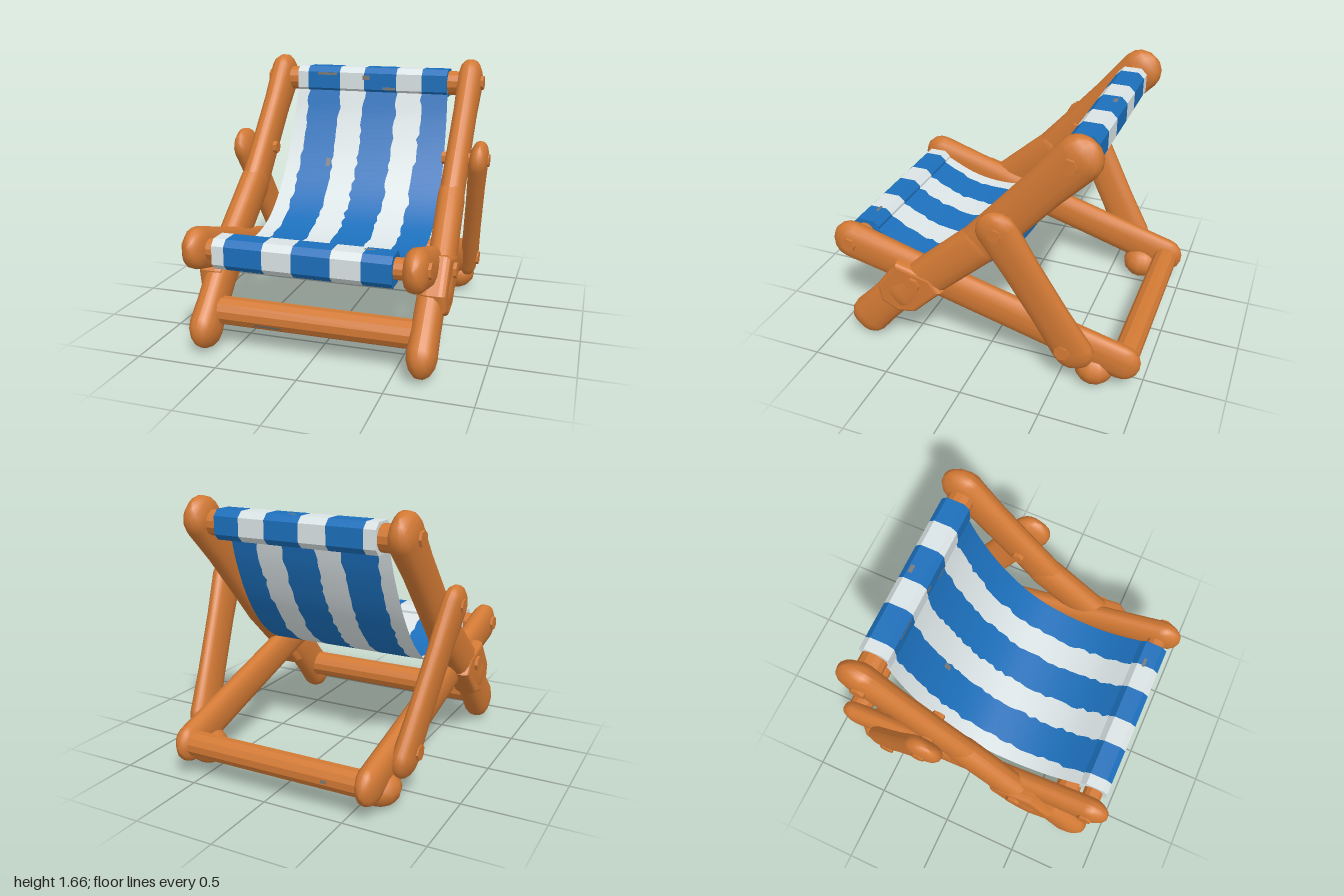
import * as THREE from 'three';

const mat = (name, color, side = THREE.FrontSide) => {
  const m = new THREE.MeshStandardMaterial({ color, side });
  m.name = name;
  return m;
};

export function createModel() {
  const wood = mat('orange wood', 0xd27934);
  const blue = mat('blue cloth', 0x1c6fbb, THREE.DoubleSide);
  const white = mat('white cloth', 0xdae3e5, THREE.DoubleSide);
  const worn = mat('worn grey', 0x7b7a76, THREE.DoubleSide);
  const model = new THREE.Group();
  model.name = 'deckChair';
  const V = (x, y, z) => new THREE.Vector3(x, y, z);

  const add = (name, geo, material, parent = model) => {
    const mesh = new THREE.Mesh(geo, material);
    mesh.name = name;
    parent.add(mesh);
    return mesh;
  };
  const faceted = (geo) => {
    const g = geo.index ? geo.toNonIndexed() : geo;
    g.computeVertexNormals();
    return g;
  };

  // Round-ended wooden bar from a to b: end radii ra and rb, waist radius rm, half thickness t in x
  function bar(name, a, b, ra, rm, rb, t, parent) {
    const dir = b.clone().sub(a);
    const len = dir.length();
    const pts = [];
    for (let i = 0; i <= 4; i++) {
      const k = (i / 4) * Math.PI / 2;
      pts.push(new THREE.Vector2(ra * Math.sin(k), -ra * Math.cos(k)));
    }
    pts.push(new THREE.Vector2(rm, len * 0.3), new THREE.Vector2(rm, len * 0.7));
    for (let i = 4; i >= 0; i--) {
      const k = (i / 4) * Math.PI / 2;
      pts.push(new THREE.Vector2(rb * Math.sin(k), len + rb * Math.cos(k)));
    }
    const geo = new THREE.LatheGeometry(pts, 16);
    // Swell the round section towards a soft square
    const pos = geo.attributes.position;
    for (let i = 0; i < pos.count; i++) {
      const px = pos.getX(i), pz = pos.getZ(i), r = Math.hypot(px, pz);
      if (r < 1e-5) continue;
      const f = Math.pow(Math.abs(px / r) ** 2.7 + Math.abs(pz / r) ** 2.7, -1 / 2.7);
      pos.setX(i, px * f);
      pos.setZ(i, pz * f);
    }
    geo.scale(t / Math.max(ra, rm, rb), 1, 1);
    geo.computeVertexNormals();
    const y = dir.normalize();
    const z = V(1, 0, 0).cross(y).normalize();
    const x = y.clone().cross(z);
    geo.applyMatrix4(new THREE.Matrix4().makeBasis(x, y, z).setPosition(a));
    return add(name, geo, wood, parent);
  }

  // Cylinder lying along x between x0 and x1, with one flat face towards +z
  function rod(name, x0, x1, y, z, r, sides, parent = model) {
    const geo = new THREE.CylinderGeometry(r, r, Math.abs(x1 - x0), sides, 1, false, Math.PI / sides);
    geo.rotateZ(Math.PI / 2);
    geo.translate((x0 + x1) / 2, y, z);
    return add(name, faceted(geo), wood, parent);
  }

  // Side frames
  for (const s of [-1, 1]) {
    const side = new THREE.Group();
    side.name = s > 0 ? 'leftFrame' : 'rightFrame';
    model.add(side);
    const P = (x, y, z) => V(s * x, y, z);

    // The back rail bends slightly above the joint
    bar('backRail', P(0.665, 0.86, 0), P(0.665, 1.525, -0.585), 0.124, 0.122, 0.135, 0.08, side);
    bar('backRailLower', P(0.69, 0.42, 0.49), P(0.665, 0.86, 0), 0.132, 0.124, 0.124, 0.085, side);
    bar('frontFoot', P(0.665, 0.14, 0.775), P(0.665, 0.5, 0.45), 0.129, 0.122, 0.11, 0.085, side);
    bar('seatRail', P(0.645, 0.675, 0.87), P(0.605, 0.195, -0.88), 0.125, 0.112, 0.115, 0.072, side);
    bar('rearStrut', P(0.8, 1.065, -0.175), P(0.7, 0.265, -0.605), 0.124, 0.115, 0.124, 0.06, side);

    // Ball foot under the seat rail
    const ball = new THREE.SphereGeometry(0.118, 12, 8);
    ball.scale(1.08, 0.95, 1.06);
    ball.translate(s * 0.595, 0.112, -0.715);
    add('rearFoot', ball, wood, side);

    // Swollen joint where the rails cross
    const outline = [[0.51, 0.62], [0.3, 0.57], [0.25, 0.5], [0.42, 0.33], [0.52, 0.31], [0.62, 0.36], [0.635, 0.45]];
    const shape = new THREE.Shape(outline.map(([z, y]) => new THREE.Vector2(-z, y)));
    const plate = new THREE.ExtrudeGeometry(shape, {
      depth: 0.07, bevelThickness: 0.04, bevelSize: 0.025, bevelSegments: 3,
    });
    plate.rotateY(Math.PI / 2);
    plate.translate(s > 0 ? 0.655 : -0.725, 0, 0);
    add('joint', faceted(plate), wood, side);

    // Peg ends: inner x, outer x, y, z, radius
    const pegs = [
      [0.6, 0.76, 1.51, -0.555, 0.048], [0.6, 0.73, 0.68, 0.86, 0.048], [0.65, 0.785, 0.53, 0.4, 0.048],
      [0.567, 0.868, 1.07, -0.18, 0.042], [0.58, 0.775, 0.29, -0.555, 0.048],
    ];
    for (const [x0, x1, y, z, r] of pegs) rod('peg', s * x0, s * x1, y, z, r, 7, side);
  }

  // Cross bars and cloth rods
  rod('frontCrossBar', -0.62, 0.62, 0.225, 0.69, 0.087, 12);
  rod('rearCrossBar', -0.6, 0.6, 0.2, -0.89, 0.08, 12);
  rod('topRod', -0.62, 0.62, 1.5, -0.565, 0.08, 12);
  rod('seatRod', -0.62, 0.62, 0.67, 0.85, 0.062, 12);

  // Striped cloth
  const cloth = new THREE.Group();
  cloth.name = 'cloth';
  model.add(cloth);
  const edges = [-0.54, -0.45, -0.22, -0.045, 0.18, 0.355, 0.54];
  const sag = new THREE.CatmullRomCurve3([
    V(0, 1.46, -0.5), V(0, 1.24, -0.43), V(0, 0.97, -0.3), V(0, 0.76, -0.14),
    V(0, 0.63, 0.04), V(0, 0.575, 0.27), V(0, 0.6, 0.53), V(0, 0.735, 0.82),
  ]);
  const rows = 48;
  const path = sag.getSpacedPoints(rows);

  // Slightly uneven stripe borders, shared by neighbouring stripes
  let seed = 7;
  const rand = () => (seed = (seed * 16807) % 2147483647) / 2147483647;
  const borders = edges.map((e, j) => path.map((p, i) => {
    if (j === 0 || j === edges.length - 1) {
      return e + Math.sign(e) * (0.025 * Math.sin(Math.PI * i / rows) - 0.012);
    }
    return e + (rand() - 0.5) * 0.022;
  }));

  // Hem section: a square with cut corners, run along x
  function hem(name, x0, x1, y, z, material) {
    const h = 0.091, c = 0.055;
    const corners = [[h, c], [c, h], [-c, h], [-h, c], [-h, -c], [-c, -h], [c, -h], [h, -c]];
    const shape = new THREE.Shape(corners.map(([u, v]) => new THREE.Vector2(u, v)));
    const geo = new THREE.ExtrudeGeometry(shape, { depth: x1 - x0, bevelEnabled: false });
    geo.rotateY(Math.PI / 2);
    geo.translate(x0, y, z);
    add(name, geo, material, cloth);
  }

  for (let j = 0; j < edges.length - 1; j++) {
    const material = j % 2 ? blue : white;
    const geo = new THREE.PlaneGeometry(1, 1, 1, rows);
    const pos = geo.attributes.position;
    path.forEach((p, i) => {
      pos.setXYZ(i * 2, borders[j][i], p.y, p.z);
      pos.setXYZ(i * 2 + 1, borders[j + 1][i], p.y, p.z);
    });
    geo.computeVertexNormals();
    add('seatStripe', geo, material, cloth);

    const x0 = Math.max(edges[j], -0.525), x1 = Math.min(edges[j + 1], 0.525);
    hem('topHem', x0, x1, 1.5, -0.565, material);
    hem('frontHem', x0, x1, 0.662, 0.845, material);
  }

  // Small worn patches: x, y, z, width, height, tilt about x
  const patches = [
    [-0.31, 1.545, -0.471, 0.14, 0.018, 0], [-0.03, 1.525, -0.471, 0.05, 0.03, 0],
    [0.13, 1.455, -0.471, 0.09, 0.018, 0], [0.02, 1.594, -0.6, 0.05, 0.025, -Math.PI / 2],
    [0.375, 0.756, 0.83, 0.06, 0.02, -Math.PI / 2], [-0.245, 0.963, -0.288, 0.03, 0.06, -0.555],
    [-0.27, 0.182, 0.766, 0.17, 0.018, Math.PI / 6], [-0.37, 0.2, -0.97, 0.04, 0.02, Math.PI],
  ];
  for (const [x, y, z, w, h, tilt] of patches) {
    const patch = add('wornPatch', new THREE.PlaneGeometry(w, h), worn);
    patch.position.set(x, y, z);
    patch.rotation.x = tilt;
  }
  return model;
}
